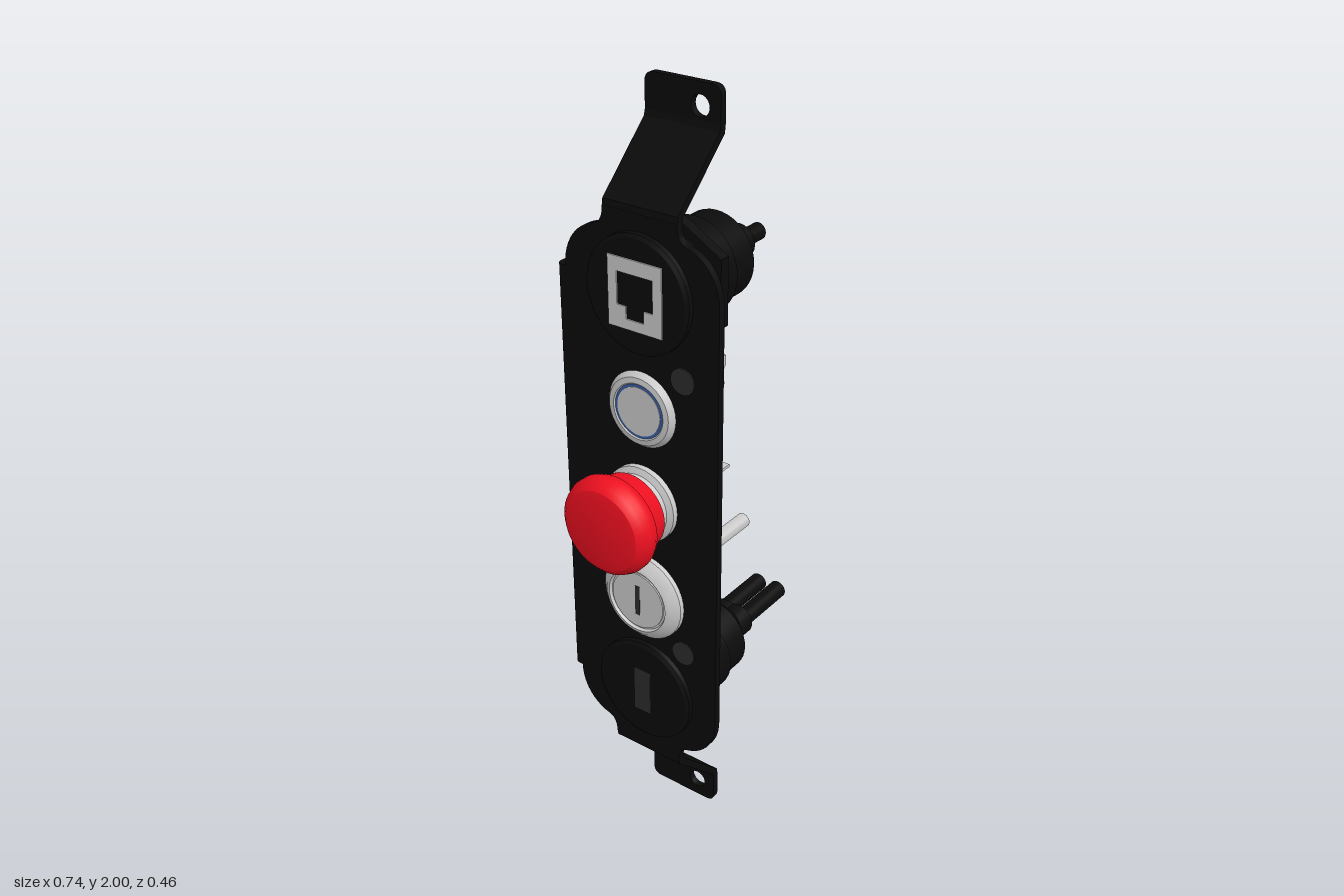
import * as THREE from 'three';
import { toCreasedNormals } from 'three/addons/utils/BufferGeometryUtils.js';

const paint = (color) => new THREE.MeshStandardMaterial({ color });
const black = paint(0x0b0b0b), charcoal = paint(0x2c2c2c), grey = paint(0xcccccc);
const red = paint(0xee1020), blue = paint(0x3a5fa8);
const ZC = 0.013; // z of the row of controls

export function createModel() {
  const model = new THREE.Group();

  const add = (parent, name, geometry, material) => {
    const mesh = new THREE.Mesh(geometry, material);
    mesh.name = name;
    parent.add(mesh);
    return mesh;
  };
  const section = (name) => {
    const g = new THREE.Group();
    g.name = name;
    model.add(g);
    return g;
  };
  // Turned part along x: profile is a list of [x, radius], running towards +x
  const turned = (parent, name, profile, y, z, material, sides = 40) => {
    const pts = profile.map(([x, r]) => new THREE.Vector2(r, x));
    const geo = new THREE.LatheGeometry(pts, sides).rotateZ(-Math.PI / 2);
    const mesh = add(parent, name, toCreasedNormals(geo, 0.5), material);
    mesh.position.set(0, y, z);
    return mesh;
  };
  const rod = (parent, name, x0, x1, r, y, z, material, sides = 24) =>
    turned(parent, name, [[x0, 0], [x0, r], [x1, r], [x1, 0]], y, z, material, sides);
  // Box given by its x range, centre and size in y and z
  const block = (parent, name, x0, x1, y, z, h, w, material) =>
    add(parent, name, new THREE.BoxGeometry(x1 - x0, h, w), material).position.set((x0 + x1) / 2, y, z);
  // Shape drawn in (-z, y), extruded along x
  const slab = (parent, name, shape, x0, x1, material) => {
    const geo = new THREE.ExtrudeGeometry(shape, { depth: x1 - x0, bevelEnabled: false, curveSegments: 12 });
    return add(parent, name, toCreasedNormals(geo.rotateY(Math.PI / 2).translate(x0, 0, 0), 0.5), material);
  };

  // Panel plate with rounded shoulders that flow into the tabs
  const bracket = section('bracket');
  const plate = new THREE.Shape();
  plate.moveTo(-0.228, 0.43);
  plate.lineTo(-0.228, 1.57);
  plate.bezierCurveTo(-0.228, 1.635, -0.19, 1.68, -0.14, 1.693);
  plate.quadraticCurveTo(-0.115, 1.70, -0.115, 1.74);
  plate.lineTo(0.09, 1.74);
  plate.quadraticCurveTo(0.09, 1.70, 0.115, 1.693);
  plate.bezierCurveTo(0.165, 1.68, 0.203, 1.635, 0.203, 1.57);
  plate.lineTo(0.203, 0.43);
  plate.bezierCurveTo(0.203, 0.365, 0.165, 0.32, 0.115, 0.307);
  plate.quadraticCurveTo(0.09, 0.30, 0.09, 0.26);
  plate.lineTo(-0.115, 0.26);
  plate.quadraticCurveTo(-0.115, 0.30, -0.14, 0.307);
  plate.bezierCurveTo(-0.19, 0.32, -0.228, 0.365, -0.228, 0.43);
  slab(bracket, 'panelPlate', plate, -0.2, -0.181, black);

  // Mounting tabs: sloped strip and drilled end with rounded corners
  for (const s of [1, -1]) {
    const Y = (d) => 1 + s * d;
    const slope = new THREE.Shape([
      [-0.2, 0.735], [-0.197, 0.755], [-0.045, 0.9], [-0.041, 0.915],
      [-0.023, 0.915], [-0.026, 0.893], [-0.178, 0.748], [-0.181, 0.735],
    ].map(([x, d]) => new THREE.Vector2(x, Y(d))));
    const slopeGeo = new THREE.ExtrudeGeometry(slope, { depth: 0.205, bevelEnabled: false });
    add(bracket, 'tabSlope', slopeGeo.translate(0, 0, -0.09), black);

    const end = new THREE.Shape();
    end.moveTo(-0.115, Y(0.913));
    end.lineTo(-0.115, Y(0.975));
    end.quadraticCurveTo(-0.115, Y(1), -0.09, Y(1));
    end.lineTo(0.065, Y(1));
    end.quadraticCurveTo(0.09, Y(1), 0.09, Y(0.975));
    end.lineTo(0.09, Y(0.913));
    const hole = new THREE.Path();
    hole.absarc(-0.06, Y(0.947), 0.025, 0, Math.PI * 2);
    end.holes.push(hole);
    slab(bracket, 'tabEnd', end, -0.041, -0.023, black);
  }

  // Folded side flange with a shallow notch in the middle
  const flange = new THREE.Shape([
    [-0.181, 0.43], [-0.125, 0.43], [-0.11, 0.445], [-0.11, 0.83], [-0.118, 0.865], [-0.136, 0.905], [-0.145, 0.945],
    [-0.145, 1.095], [-0.136, 1.135], [-0.118, 1.175], [-0.11, 1.21], [-0.11, 1.555], [-0.125, 1.57], [-0.181, 1.57],
  ].map(([x, y]) => new THREE.Vector2(x, y)));
  add(bracket, 'sideFlange', new THREE.ExtrudeGeometry(flange, { depth: 0.017, bevelEnabled: false }).translate(0, 0, -0.23), black);
  const fold = new THREE.Shape();
  fold.moveTo(-0.2, 0.2);
  fold.lineTo(-0.2, 0.211);
  fold.quadraticCurveTo(-0.2, 0.23, -0.181, 0.23);
  fold.lineTo(-0.181, 0.2);
  const foldGeo = new THREE.ExtrudeGeometry(fold, { depth: 1.14, bevelEnabled: false });
  add(bracket, 'flangeFold', toCreasedNormals(foldGeo.rotateX(-Math.PI / 2).translate(0, 0.43, 0), 0.5), black);

  // Cable connectors at both ends
  for (const [name, y] of [['upperConnector', 1.555], ['lowerConnector', 0.455]]) {
    const g = section(name);
    turned(g, 'frontBezel', [[-0.218, 0], [-0.218, 0.135], [-0.212, 0.144], [-0.195, 0.145], [-0.195, 0]], y, ZC, black);
    turned(g, 'connectorBody', [[-0.185, 0], [-0.185, 0.135], [-0.17, 0.135], [-0.17, 0.12], [0.006, 0.12],
      [0.006, 0.108], [0.09, 0.108], [0.135, 0.066], [0.135, 0]], y, ZC, black);
  }
  const upper = model.getObjectByName('upperConnector');
  rod(upper, 'hexNut', -0.096, -0.068, 0.168, 1.552, ZC, black, 6).rotation.x = Math.PI / 2;
  rod(upper, 'strainRelief', 0.13, 0.187, 0.045, 1.555, ZC, black);
  rod(upper, 'cable', 0.18, 0.268, 0.022, 1.555, ZC, black);
  // Square socket: pale frame around a dark stepped opening
  const frame = new THREE.Shape([[-0.075, -0.085], [0.075, -0.085], [0.075, 0.085], [-0.075, 0.085]]
    .map(([u, v]) => new THREE.Vector2(u, v)));
  frame.holes.push(new THREE.Path([[-0.05, -0.03], [-0.05, 0.05], [0.05, 0.05], [0.05, -0.03],
    [0.025, -0.03], [0.025, -0.06], [-0.025, -0.06], [-0.025, -0.03]].map(([u, v]) => new THREE.Vector2(u, v))));
  slab(upper, 'socketFrame', frame, -0.2215, -0.21, grey).position.set(0, 1.555, ZC);

  const lower = model.getObjectByName('lowerConnector');
  block(lower, 'socketSlot', -0.2195, -0.21, 0.455, ZC, 0.13, 0.05, charcoal);
  for (const s of [-1, 1]) {
    rod(lower, 'strainRelief', 0.13, 0.187, 0.045, 0.455, ZC + s * 0.02, black);
    rod(lower, 'cable', 0.18, 0.368, 0.025, 0.455, 0.01 + s * 0.032, black);
  }

  // Illuminated push button
  const button = section('pushButton');
  turned(button, 'buttonBezel', [[-0.212, 0.068], [-0.216, 0.072], [-0.214, 0.086], [-0.2, 0.097], [-0.195, 0.097]].map((p) => p), 1.265, ZC, grey);
  rod(button, 'lightRing', -0.213, -0.2, 0.069, 1.265, ZC, blue, 40);
  rod(button, 'buttonFace', -0.2145, -0.2, 0.062, 1.265, ZC, grey, 40);
  turned(button, 'buttonBody', [[-0.185, 0], [-0.185, 0.085], [-0.074, 0.085], [-0.074, 0.076], [0.022, 0.076], [0.022, 0]], 1.265, ZC, grey);
  for (const s of [-1, 1]) {
    block(button, 'bladeTerminal', 0.02, 0.08, 1.288, ZC + s * 0.031, 0.042, 0.008, grey);
    block(button, 'bladeTip', 0.08, 0.087, 1.288, ZC + s * 0.031, 0.028, 0.008, grey);
  }
  block(button, 'flatTerminal', 0.02, 0.086, 1.232, ZC, 0.008, 0.042, grey);

  // Emergency stop with a red mushroom head
  const stop = section('emergencyStop');
  turned(stop, 'stopCollar', [[-0.255, 0], [-0.255, 0.085], [-0.222, 0.085], [-0.215, 0.1], [-0.195, 0.1], [-0.195, 0]], 1.015, ZC, grey);
  turned(stop, 'stopHead', [[-0.368, 0], [-0.37, 0.088], [-0.366, 0.105], [-0.353, 0.119], [-0.335, 0.126], [-0.318, 0.126],
    [-0.304, 0.12], [-0.297, 0.11], [-0.285, 0.107], [-0.248, 0.099], [-0.248, 0]], 1.015, ZC, red, 48);
  turned(stop, 'stopBody', [[-0.185, 0], [-0.185, 0.085], [-0.072, 0.085], [-0.072, 0.076], [0, 0.076], [0, 0]], 1.015, ZC, grey);
  for (const s of [-1, 0, 1]) block(stop, 'flatTerminal', -0.005, 0.062, 1.015, ZC + s * 0.048, 0.008, 0.038, grey);

  // Key switch
  const key = section('keySwitch');
  turned(key, 'keyBezel', [[-0.228, 0], [-0.228, 0.083], [-0.235, 0.087], [-0.232, 0.097], [-0.212, 0.118], [-0.195, 0.119], [-0.195, 0]], 0.745, ZC, grey);
  rod(key, 'keyBarrel', -0.232, -0.22, 0.078, 0.745, ZC, grey, 40);
  block(key, 'keySlot', -0.233, -0.225, 0.745, ZC, 0.085, 0.014, charcoal);
  turned(key, 'keyBody', [[-0.185, 0], [-0.185, 0.098], [-0.046, 0.098], [-0.046, 0.044], [0.05, 0.044], [0.05, 0.02], [0.23, 0.02], [0.23, 0]], 0.745, ZC, grey);

  // Panel screws: flush heads outside, stepped nuts inside
  for (const y of [1.372, 0.615]) {
    const g = section('panelScrew');
    rod(g, 'screwHead', -0.203, -0.19, 0.033, y, 0.13, charcoal);
    turned(g, 'screwNut', [[-0.185, 0], [-0.185, 0.03], [-0.155, 0.03], [-0.155, 0.026], [-0.145, 0.026], [-0.145, 0.014],
      [-0.155, 0.012], [-0.155, 0]], y, 0.13, charcoal);
  }
  return model;
}
